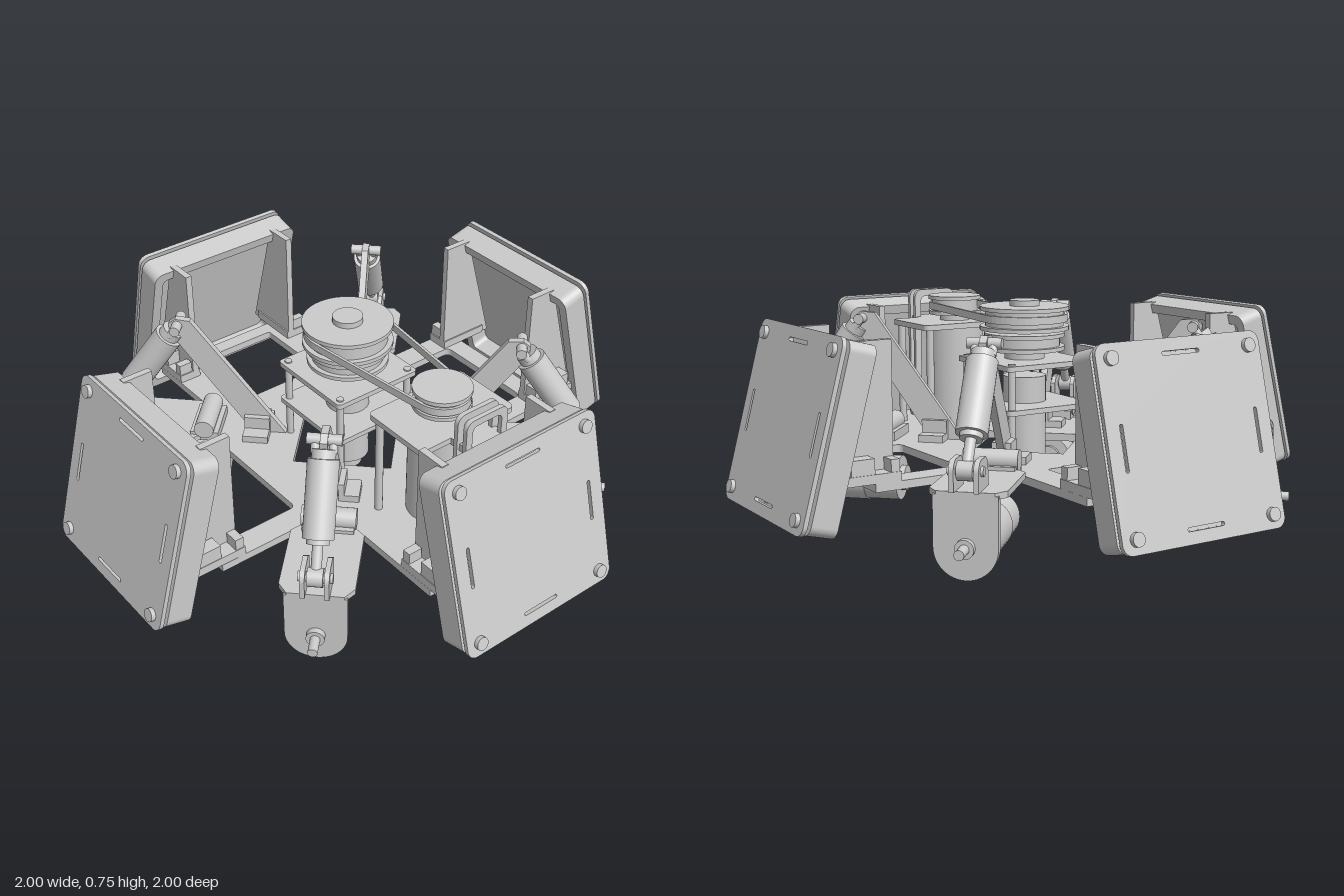
import * as THREE from 'three';

const mat = new THREE.MeshStandardMaterial({ color: 0xcccccc, side: THREE.DoubleSide });

function add(parent, name, geo, x = 0, y = 0, z = 0) {
  const m = new THREE.Mesh(geo, mat);
  m.name = name;
  m.position.set(x, y, z);
  parent.add(m);
  return m;
}
const box = (w, h, d) => new THREE.BoxGeometry(w, h, d);
const cyl = (r, h, n = 32) => new THREE.CylinderGeometry(r, r, h, n);
const poly = pts => new THREE.Shape(pts.map(p => new THREE.Vector2(...p)));
const extrude = (shape, depth) =>
  new THREE.ExtrudeGeometry(shape, { depth, bevelEnabled: false, curveSegments: 12 });

// Rounded rectangle centred on (cx, cy)
function rounded(w, h, r, cx = 0, cy = 0) {
  const s = new THREE.Shape(), x = w / 2 - r, y = h / 2 - r;
  s.absarc(cx + x, cy + y, r, 0, Math.PI / 2);
  s.absarc(cx - x, cy + y, r, Math.PI / 2, Math.PI);
  s.absarc(cx - x, cy - y, r, Math.PI, Math.PI * 1.5);
  s.absarc(cx + x, cy - y, r, Math.PI * 1.5, Math.PI * 2);
  s.closePath();
  return s;
}
function circle(r, cx = 0, cy = 0) {
  const s = new THREE.Shape();
  s.absarc(cx, cy, r, 0, Math.PI * 2);
  return s;
}
// Horizontal plate from an (x, z) outline, with its upper face at top
function plate(parent, name, shape, top, thick) {
  return add(parent, name, extrude(shape, thick).rotateX(Math.PI / 2), 0, top, 0);
}
// Cylinder between two points
function rod(parent, name, a, b, r, n = 24) {
  const p = new THREE.Vector3(...a), q = new THREE.Vector3(...b), d = q.clone().sub(p);
  const m = add(parent, name, cyl(r, d.length(), n));
  m.position.copy(p).add(q).multiplyScalar(0.5);
  m.quaternion.setFromUnitVectors(new THREE.Vector3(0, 1, 0), d.normalize());
  return m;
}

// Cross-shaped base plate with lightening holes
function base(parent) {
  const pts = [];
  for (let k = 0; k < 4; k++) {
    const c = Math.round(Math.cos(k * Math.PI / 2)), s = Math.round(Math.sin(k * Math.PI / 2));
    const L = k % 2 ? 0.73 : 0.78;
    for (const [x, y] of [[0.42, -0.29], [L, -0.29], [L, 0.29], [0.42, 0.29]])
      pts.push([x * c - y * s, x * s + y * c]);
  }
  const shape = poly(pts);
  shape.holes.push(
    poly([[0.24, 0], [0, 0.24], [-0.24, 0], [0, -0.24]]),
    rounded(0.32, 0.35, 0.01, -0.565, 0),
    rounded(0.4, 0.27, 0.02, 0, 0.515),
    rounded(0.4, 0.27, 0.02, 0, -0.52),
    circle(0.07, 0.48, 0)
  );
  plate(parent, 'basePlate', shape, 0.25, 0.027);
}

// Tilted armour panel on its two uprights, facing +z
function armour() {
  const g = new THREE.Group();
  g.name = 'armourPanel';
  const panel = new THREE.Group();
  panel.name = 'tiltedPanel';
  panel.position.set(0, 0.41, 0.887);
  panel.rotation.x = -Math.PI / 12;
  g.add(panel);
  const rim = rounded(0.62, 0.6, 0.035);
  rim.holes.push(rounded(0.55, 0.53, 0.02));
  add(panel, 'trayRim', extrude(rim, 0.09), 0, 0, -0.09);
  add(panel, 'trayFace', extrude(rounded(0.61, 0.59, 0.03), 0.02), 0, 0, -0.021);
  const face = rounded(0.62, 0.61, 0.035);
  for (const s of [-1, 1]) {
    face.holes.push(rounded(0.14, 0.012, 0.0055, 0, s * 0.26));
    face.holes.push(rounded(0.012, 0.14, 0.0055, s * 0.255, 0));
  }
  add(panel, 'outerPlate', extrude(face, 0.015), 0, 0, 0.011);
  for (const x of [-0.26, 0.26]) for (const y of [-0.26, 0.26])
    add(panel, 'bolt', cyl(0.022, 0.05, 20).rotateX(Math.PI / 2), x, y, 0.016);
  // Uprights and their feet
  const side = poly([[0.64, 0.25], [0.64, 0.685], [0.745, 0.685], [0.87, 0.25]]);
  for (const s of [-1, 1]) {
    add(g, 'upright', extrude(side, 0.024).rotateY(-Math.PI / 2), s * 0.222 + 0.012, 0, 0);
    add(g, 'uprightFoot', box(0.085, 0.03, 0.2), s * 0.247, 0.265, 0.74);
    add(g, 'uprightBlock', box(0.05, 0.08, 0.08), s * 0.262, 0.29, 0.77);
    add(g, 'uprightClip', box(0.05, 0.07, 0.03), s * 0.262, 0.285, 0.66);
  }
  return g;
}

// Drive unit with motor, bracket, brace and shock absorber, pointing along +x
function driveUnit() {
  const g = new THREE.Group();
  g.name = 'driveUnit';
  plate(g, 'motorTopPlate', poly([[0.5, -0.07], [0.55, -0.12], [0.8, -0.12], [0.84, -0.09],
    [0.84, 0.09], [0.8, 0.12], [0.55, 0.12], [0.5, 0.07]]), 0.27, 0.02);
  // Vertical bracket with a round lower end
  const b = new THREE.Shape();
  b.moveTo(0.1, 0.26);
  b.lineTo(-0.1, 0.26);
  b.lineTo(-0.1, 0.1);
  b.absarc(0, 0.1, 0.1, Math.PI, Math.PI * 2);
  add(g, 'motorBracket', extrude(b, 0.025).rotateY(Math.PI / 2), 0.815, 0, 0);
  rod(g, 'motor', [0.57, 0.1, 0], [0.815, 0.1, 0], 0.084, 32);
  rod(g, 'motorRear', [0.45, 0.1, 0], [0.57, 0.1, 0], 0.08, 32);
  rod(g, 'motorEndCap', [0.43, 0.1, 0], [0.45, 0.1, 0], 0.045);
  rod(g, 'shaftCollar', [0.84, 0.1, 0], [0.86, 0.1, 0], 0.03);
  rod(g, 'shaft', [0.84, 0.1, 0], [0.92, 0.1, 0], 0.016);
  // Hinge joining the motor plate to the base
  rod(g, 'hingeBarrel', [0.5, 0.295, -0.09], [0.5, 0.295, 0.09], 0.035);
  add(g, 'hingeBlock', box(0.1, 0.035, 0.17), 0.5, 0.265, 0);
  // Sloping brace carrying the shock absorber
  const brace = poly([[0.22, 0.25], [0.34, 0.25], [0.61, 0.64], [0.615, 0.68], [0.59, 0.7], [0.54, 0.695]]);
  add(g, 'brace', extrude(brace, 0.024), 0, 0, -0.012);
  for (const s of [-1, 1]) {
    add(g, 'braceFoot', box(0.09, 0.025, 0.07), 0.32, 0.2625, s * 0.047);
    add(g, 'braceClip', box(0.09, 0.07, 0.02), 0.32, 0.285, s * 0.022);
  }
  // Lower clevis
  const c = new THREE.Shape();
  c.moveTo(0.74, 0.27);
  c.lineTo(0.86, 0.27);
  c.lineTo(0.86, 0.33);
  c.absarc(0.825, 0.33, 0.035, 0, Math.PI / 2);
  c.lineTo(0.77, 0.365);
  c.lineTo(0.74, 0.34);
  for (const s of [-1, 1]) add(g, 'clevis', extrude(c, 0.016), 0, 0, s * 0.038 - 0.008);
  // Shock absorber
  const lo = [0.825, 0.33, 0], hi = [0.585, 0.675, 0];
  const at = t => lo.map((v, i) => v + (hi[i] - v) * t);
  rod(g, 'lowerPin', [0.825, 0.33, -0.055], [0.825, 0.33, 0.055], 0.016);
  rod(g, 'upperPin', [0.585, 0.675, -0.055], [0.585, 0.675, 0.055], 0.018);
  rod(g, 'lowerEye', [0.825, 0.33, -0.025], [0.825, 0.33, 0.025], 0.03);
  rod(g, 'shockRod', lo, at(0.35), 0.017);
  rod(g, 'shockCollar', at(0.24), at(0.3), 0.036);
  rod(g, 'shockBody', at(0.28), at(0.86), 0.05, 32);
  rod(g, 'shockCap', at(0.86), at(0.93), 0.038);
  for (const s of [-1, 1])
    rod(g, 'shockFork', at(0.9).map((v, i) => i === 2 ? s * 0.028 : v), [hi[0], hi[1], s * 0.028], 0.014);
  return g;
}

// Grooved pulley between y0 and y1
function pulley(parent, name, x, r, y0, y1) {
  const t = 0.014, q = r * 0.88;
  const pts = [[0, y0], [r, y0], [r, y0 + t], [q, y0 + t], [q, y1 - t], [r, y1 - t], [r, y1], [0, y1]];
  for (let i = 0; i < pts.length - 1; i++) {
    const seg = [pts[i], pts[i + 1]].map(p => new THREE.Vector2(...p));
    add(parent, name, new THREE.LatheGeometry(seg, 48), x, 0, 0);
  }
}

// Belt loop outline round both pulleys
function beltLoop(r1, r2, d) {
  const a = Math.acos((r1 - r2) / d), s = new THREE.Shape();
  s.absarc(0, 0, r1, a, Math.PI * 2 - a);
  s.absarc(d, 0, r2, -a, a);
  s.closePath();
  return s;
}

export function createModel() {
  const root = new THREE.Group();
  root.name = 'robotChassis';
  base(root);
  for (let k = 0; k < 4; k++) {
    const a = armour(), d = driveUnit();
    a.rotation.y = k * Math.PI / 2;
    d.rotation.y = (k + 0.5) * Math.PI / 2;
    root.add(a, d);
  }

  // Central tower
  const tower = new THREE.Group();
  tower.name = 'centralTower';
  root.add(tower);
  for (const y of [0.55, 0.4]) plate(tower, 'towerPlate', rounded(0.34, 0.34, 0.015), y, 0.018);
  for (const x of [-0.145, 0.145]) for (const z of [-0.145, 0.145])
    add(tower, 'standoff', cyl(0.013, 0.31, 12), x, 0.4, z);
  add(tower, 'centralMotor', cyl(0.075, 0.3), 0, 0.34, 0);
  add(tower, 'centralMotorCap', cyl(0.05, 0.05), 0, 0.17, 0);
  add(tower, 'bearing', cyl(0.07, 0.07), 0, 0.58, 0);
  pulley(tower, 'lowerPulley', 0, 0.14, 0.58, 0.64);
  pulley(tower, 'mainPulley', 0, 0.155, 0.65, 0.732);
  add(tower, 'pulleyHub', cyl(0.052, 0.04), 0, 0.732, 0);

  // Side motor stand
  const stand = new THREE.Group();
  stand.name = 'sideMotorStand';
  root.add(stand);
  plate(stand, 'standPlate', rounded(0.26, 0.39, 0.02, 0.48, 0), 0.638, 0.02);
  for (const x of [0.375, 0.59]) for (const z of [-0.165, 0.165])
    add(stand, 'standPost', cyl(0.014, 0.38, 12), x, 0.438, z);
  add(stand, 'sideMotor', cyl(0.105, 0.39), 0.48, 0.425, 0);
  add(stand, 'sideMotorCap', cyl(0.05, 0.06), 0.48, 0.23, 0);
  pulley(stand, 'smallPulley', 0.48, 0.097, 0.66, 0.73);
  add(stand, 'smallPulleyHub', cyl(0.055, 0.08), 0.48, 0.675, 0);
  // Twin arches beside the motor
  const arch = rounded(0.17, 0.5, 0.03, 0, 0.49);
  arch.holes.push(rounded(0.12, 0.45, 0.02, 0, 0.49));
  for (const x of [0.64, 0.68])
    add(stand, 'arch', extrude(arch, 0.016).rotateY(Math.PI / 2), x - 0.008, 0, 0);
  add(stand, 'archLink', box(0.1, 0.025, 0.15), 0.64, 0.625, 0);
  add(stand, 'archFoot', box(0.1, 0.025, 0.15), 0.64, 0.26, 0);

  // Drive belt
  const loop = beltLoop(0.15, 0.094, 0.48);
  loop.holes.push(beltLoop(0.14, 0.084, 0.48));
  plate(root, 'driveBelt', loop, 0.705, 0.026);
  return root;
}
